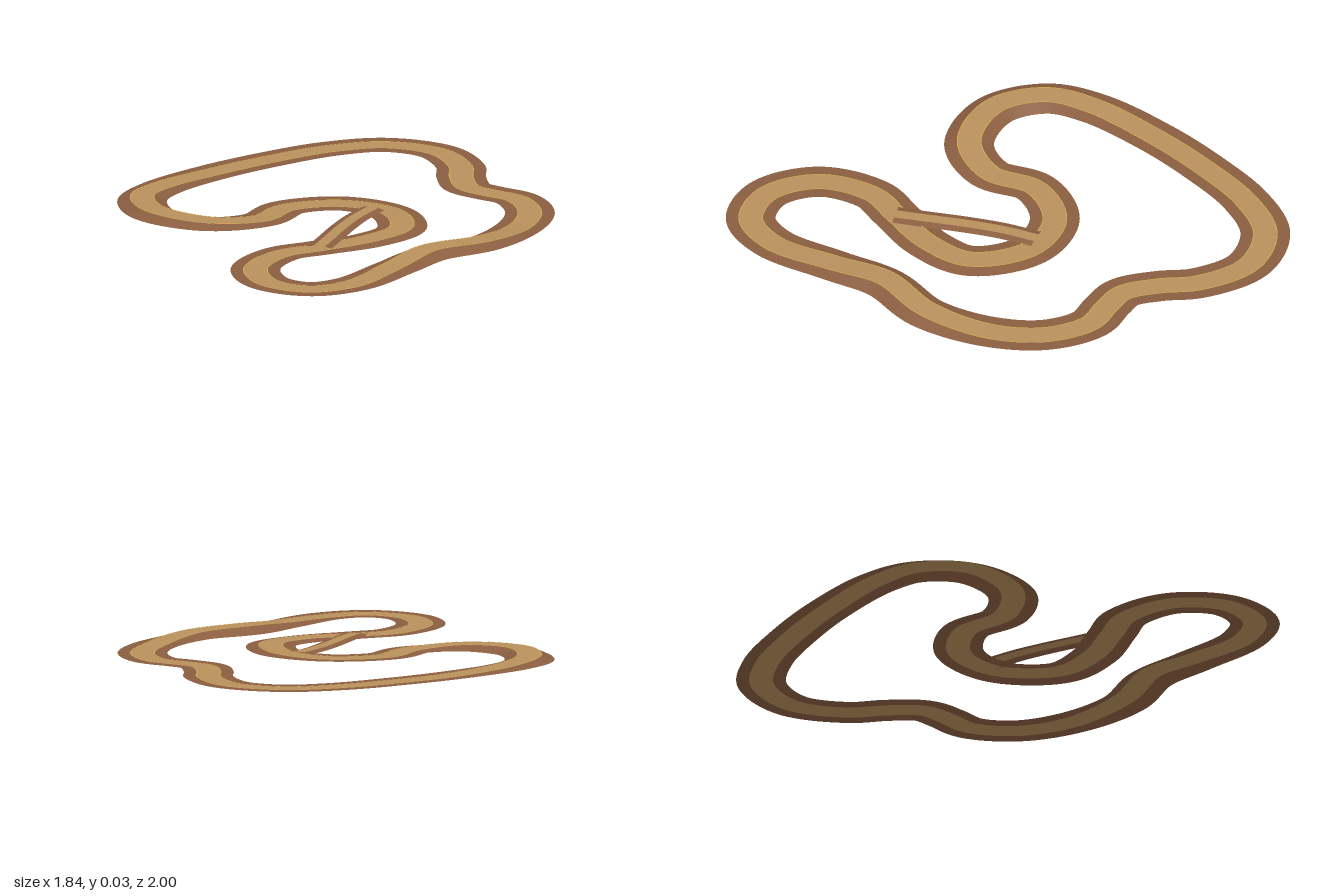
import * as THREE from 'three';

const mat = (name, color) => {
  const m = new THREE.MeshStandardMaterial({ color, side: THREE.DoubleSide });
  m.name = name;
  return m;
};

// Samples a smooth path and stores each point with its sideways direction
function samplePath(points, closed, count) {
  const curve = new THREE.CatmullRomCurve3(points.map(([x, z, h]) => new THREE.Vector3(x, h, z)), closed);
  const samples = [];
  for (let i = 0; i < (closed ? count : count + 1); i++) {
    const p = curve.getPointAt(i / count);
    const t = curve.getTangentAt(i / count).setY(0).normalize();
    samples.push({ p, side: new THREE.Vector3(-t.z, 0, t.x) });
  }
  return samples;
}

// Strip between two sideways offsets; each edge height comes from the path height
function ribbon(name, material, samples, closed, a, b, heightA, heightB) {
  const pos = [], index = [], n = samples.length;
  for (const { p, side } of samples) {
    const h = Math.max(0, p.y);
    pos.push(p.x + side.x * a, heightA(h), p.z + side.z * a);
    pos.push(p.x + side.x * b, heightB(h), p.z + side.z * b);
  }
  for (let i = 0; i < (closed ? n : n - 1); i++) {
    const j = (i + 1) % n;
    index.push(2 * i, 2 * i + 1, 2 * j, 2 * i + 1, 2 * j + 1, 2 * j);
  }
  const g = new THREE.BufferGeometry();
  g.setAttribute('position', new THREE.Float32BufferAttribute(pos, 3));
  g.setIndex(index);
  g.computeVertexNormals();
  const mesh = new THREE.Mesh(g, material);
  mesh.name = name;
  return mesh;
}

// Circuit centreline: x, z, road height
const circuit = [
  [-0.82, 0, 0.001], [-0.81, -0.3, 0], [-0.765, -0.59, 0], [-0.66, -0.8, 0], [-0.45, -0.9, 0],
  [-0.22, -0.835, 0], [-0.09, -0.73, 0], [0.045, -0.655, 0], [0.16, -0.67, 0], [0.295, -0.7, 0],
  [0.48, -0.62, 0], [0.63, -0.43, 0.002], [0.715, -0.16, 0.022], [0.687, 0.11, 0.029],
  [0.745, 0.345, 0.013], [0.81, 0.64, 0], [0.755, 0.82, 0], [0.575, 0.89, 0], [0.37, 0.79, 0],
  [0.28, 0.57, 0], [0.315, 0.4, 0.001], [0.365, 0.17, 0.007], [0.33, -0.04, 0.008],
  [0.105, -0.17, 0.005], [-0.12, -0.1, 0], [-0.222, 0.11, 0], [-0.16, 0.315, 0.005],
  [-0.25, 0.52, 0.018], [-0.495, 0.602, 0.025], [-0.7, 0.5, 0.02], [-0.785, 0.32, 0.011],
];

// Narrow shortcut across the inner loop
const shortcut = [[0.035, -0.14, 0.012], [0.09, 0, 0.011], [0.165, 0.14, 0.011], [0.25, 0.28, 0.011], [0.32, 0.4, 0.009]];

export function createModel() {
  const road = mat('packed dirt', 0xb8905c);
  const bank = mat('brown earth', 0x8b5e40);
  const paint = mat('yellow edge line', 0xd8b048);
  const group = new THREE.Group();
  group.name = 'raceTrack';

  const level = h => h;
  const ground = () => 0;
  const lifted = h => h + 0.001;

  // Main circuit: flat road, sloping banks and thin edge lines
  const main = new THREE.Group();
  main.name = 'mainCircuit';
  const s = samplePath(circuit, true, 400);
  main.add(
    ribbon('roadSurface', road, s, true, -0.05, 0.05, level, level),
    ribbon('leftBank', bank, s, true, -0.104, -0.05, ground, level),
    ribbon('rightBank', bank, s, true, 0.05, 0.104, level, ground),
    ribbon('leftEdgeLine', paint, s, true, -0.0515, -0.0485, lifted, lifted),
    ribbon('rightEdgeLine', paint, s, true, 0.0485, 0.0515, lifted, lifted),
  );

  // Shortcut: the same section, narrower and without lines
  const cut = new THREE.Group();
  cut.name = 'shortcut';
  const c = samplePath(shortcut, false, 40);
  const low = () => 0.004;
  cut.add(
    ribbon('shortcutSurface', road, c, false, -0.025, 0.025, level, level),
    ribbon('shortcutLeftBank', bank, c, false, -0.055, -0.025, low, level),
    ribbon('shortcutRightBank', bank, c, false, 0.025, 0.055, level, low),
  );

  group.add(main, cut);
  return group;
}
